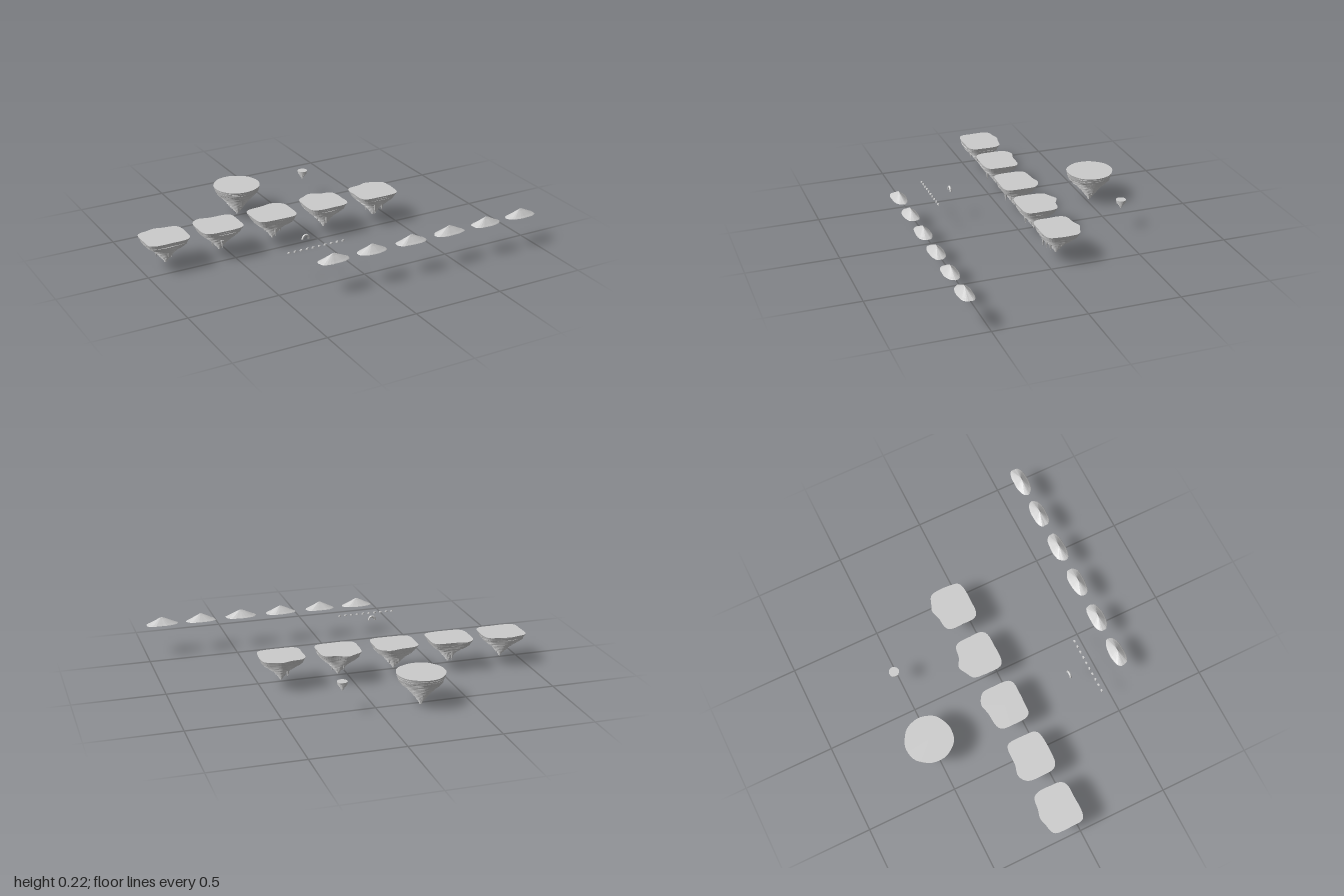
import * as THREE from 'three';

const TOP = 0.185; // shared ground level
const rock = new THREE.MeshStandardMaterial({ color: 0xcccccc, flatShading: true, side: THREE.DoubleSide });

function seeded(seed) {
  let s = seed * 7919 + 17;
  return () => (s = (s * 16807) % 2147483647) / 2147483647;
}

// Smooth periodic wobble, roughly -1..1
const wobble = (t, seed) =>
  0.45 * Math.sin(3 * t + seed * 1.7) + 0.3 * Math.sin(5 * t + seed * 2.9) + 0.25 * Math.sin(9 * t + seed * 4.1);

// Skin a stack of rings from top to bottom; point(ring, angle) gives [x, y, z]
function loft(name, ringCount, sides, point) {
  const pos = [], index = [];
  for (let i = 0; i < ringCount; i++) {
    for (let j = 0; j < sides; j++) pos.push(...point(i, (j / sides) * Math.PI * 2));
  }
  for (let i = 0; i < ringCount - 1; i++) {
    for (let j = 0; j < sides; j++) {
      const k = (j + 1) % sides;
      const a = i * sides + j, b = i * sides + k, c = a + sides, d = b + sides;
      index.push(a, b, c, b, d, c);
    }
  }
  const g = new THREE.BufferGeometry();
  g.setAttribute('position', new THREE.Float32BufferAttribute(pos, 3));
  g.setIndex(index);
  g.computeVertexNormals();
  const m = new THREE.Mesh(g, rock);
  m.name = name;
  return m;
}

// Interpolate a list of [depth, scale] pairs
function sample(profile, t) {
  for (let i = 1; i < profile.length; i++) {
    const [t0, s0] = profile[i - 1], [t1, s1] = profile[i];
    if (t <= t1) return s0 + ((s1 - s0) * (t - t0)) / (t1 - t0);
  }
  return 0;
}

const UNDERSIDE = [[0, 1], [0.14, 0.95], [0.24, 0.86], [0.37, 0.66], [0.52, 0.46], [0.7, 0.28], [0.87, 0.1], [1, 0.01]];

// Flat-topped floating island with a terraced underside tapering to a tip
function island({ name, x, z, outline, depth, layers, seed, tip = [0, 0], sides = 56 }) {
  const rnd = seeded(seed);
  const rings = [{ y: TOP, s: 0, t: 0 }];
  for (let i = 0; i < layers; i++) {
    const t0 = i / layers, t1 = (i + 1) / layers;
    const s = sample(UNDERSIDE, t0) * (i ? 0.985 + 0.03 * rnd() : 1);
    rings.push({ y: TOP - depth * t0, s, t: t0 });
    rings.push({ y: TOP - depth * (t1 - 0.15 / layers), s: s * 0.975, t: t0 });
  }
  rings.push({ y: TOP - depth, s: 0, t: 1 });
  return loft(name, rings.length, sides, (i, a) => {
    const { y, s, t } = rings[i];
    const [ox, oz] = outline(a);
    // Lower layers grow rounder and rougher
    const r = (ox * ox + oz * oz) ** 0.5, mean = outline.mean, k = Math.min(1, t * 1.4);
    const f = s * (1 + (mean / r - 1) * k) * (1 + k * 0.14 * wobble(a, seed + Math.floor(i / 4) * 0.35));
    return [x + ox * f + tip[0] * t, y, z + oz * f + tip[1] * t];
  });
}

function roundOutline(radius, seed) {
  const f = (a) => {
    const r = radius * (1 + 0.025 * wobble(a, seed));
    return [r * Math.cos(a), r * Math.sin(a)];
  };
  f.mean = radius;
  return f;
}

// Rounded square whose back edge swells outward near bumpX
function squareOutline(hx, hz, bumpX, bump, seed) {
  const f = (a) => {
    const c = Math.cos(a), s = Math.sin(a);
    const r = (Math.abs(c) ** 5 + Math.abs(s) ** 5) ** -0.2 * (1 + 0.018 * wobble(a, seed));
    const x = hx * c * r;
    let z = hz * s * r;
    if (s < 0) z -= bump * Math.exp(-(((x - bumpX) / 0.04) ** 2)) * Math.min(1, -s * 2);
    return [x, z];
  };
  f.mean = (hx + hz) / 2;
  return f;
}

// Pointed rock hanging below an island
function hangingRock(x, top, z, radius, length) {
  const g = new THREE.ConeGeometry(radius, length, 7);
  const m = new THREE.Mesh(g, rock);
  m.name = 'hangingRock';
  m.rotation.x = Math.PI;
  m.position.set(x, top - length / 2, z);
  return m;
}

// Low mound with a short ridge along x and a flat base
function hill(x, halfWidth, seed) {
  const rings = [[0, 0, 1], [0.07, 0.03, 0.97], [0.3, 0.22, 0.74], [0.55, 0.5, 0.47], [0.8, 0.78, 0.2], [0.95, 0.95, 0.06], [1, 1, 0], [0, 0, 0]];
  return loft('hill', rings.length, 28, (i, a) => {
    const [sx, sz, h] = rings[i];
    const c = Math.cos(a), s = Math.sin(a);
    const r = (Math.abs(c) ** 2.5 + Math.abs(s) ** 2.5) ** -0.4 * (1 + 0.05 * wobble(a, seed));
    return [x + halfWidth * c * r * sx, TOP + 0.041 * h, 0.602 + 0.041 * s * r * sz];
  });
}

export function createModel() {
  const model = new THREE.Group();
  model.name = 'floatingIslandSet';

  // Row of square islands: x, half width, back bump position and size, tip depth
  const squares = [
    [-0.873, 0.122, -0.01, 0.012, 0.145],
    [-0.563, 0.12, -0.06, 0.014, 0.142],
    [-0.245, 0.12, 0.05, 0.013, 0.145],
    [0.072, 0.116, -0.02, 0.028, 0.145],
    [0.39, 0.12, 0.02, 0.018, 0.142],
  ];
  squares.forEach(([x, hx, bx, bump, depth], n) => {
    const group = new THREE.Group();
    group.name = 'squareIsland';
    group.add(island({
      name: 'squareIslandRock', x, z: -0.073, depth, layers: 13, seed: n + 1,
      outline: squareOutline(hx, 0.1, bx, bump, n + 1), tip: [0, 0.006],
    }));
    const rnd = seeded(n + 11);
    for (let i = 0; i < 5; i++) {
      const a = i * 1.26 + rnd(), r = 0.025 + 0.03 * rnd();
      group.add(hangingRock(x + r * Math.cos(a), 0.118, -0.068 + r * Math.sin(a), 0.011, 0.035 + 0.02 * rnd()));
    }
    model.add(group);
  });
  // Rocks hanging at the front of the last square island
  model.add(hangingRock(0.366, 0.15, -0.005, 0.012, 0.08), hangingRock(0.38, 0.14, -0.018, 0.01, 0.07));

  // Large and small round islands
  model.add(island({
    name: 'roundIsland', x: -0.24, z: -0.52, depth: 0.18, layers: 16, seed: 8, outline: roundOutline(0.131, 8),
  }));
  model.add(island({
    name: 'smallIsland', x: 0.187, z: -0.526, depth: 0.05, layers: 5, seed: 9, sides: 20, outline: roundOutline(0.028, 9),
  }));

  // Row of hills
  [[-0.243, 0.086], [-0.018, 0.083], [0.217, 0.087], [0.45, 0.088], [0.683, 0.084], [0.907, 0.089]]
    .forEach(([x, w], i) => model.add(hill(x, w, i + 1)));

  // Line of stepping stones
  const stoneGeo = new THREE.CylinderGeometry(0.007, 0.009, 0.007, 8);
  for (let i = 0; i < 10; i++) {
    const stone = new THREE.Mesh(stoneGeo, rock);
    stone.name = 'steppingStone';
    stone.scale.z = 0.65;
    stone.rotation.y = i % 2 ? 0.15 : -0.15;
    stone.position.set(-0.403 + i * 0.035, TOP + 0.0035, 0.427);
    model.add(stone);
  }

  // Small stone arch
  const arch = new THREE.Mesh(new THREE.TorusGeometry(0.018, 0.0065, 6, 12, Math.PI), rock);
  arch.name = 'stoneArch';
  arch.scale.y = 1.2;
  arch.position.set(-0.245, TOP, 0.313);
  model.add(arch);

  return model;
}
